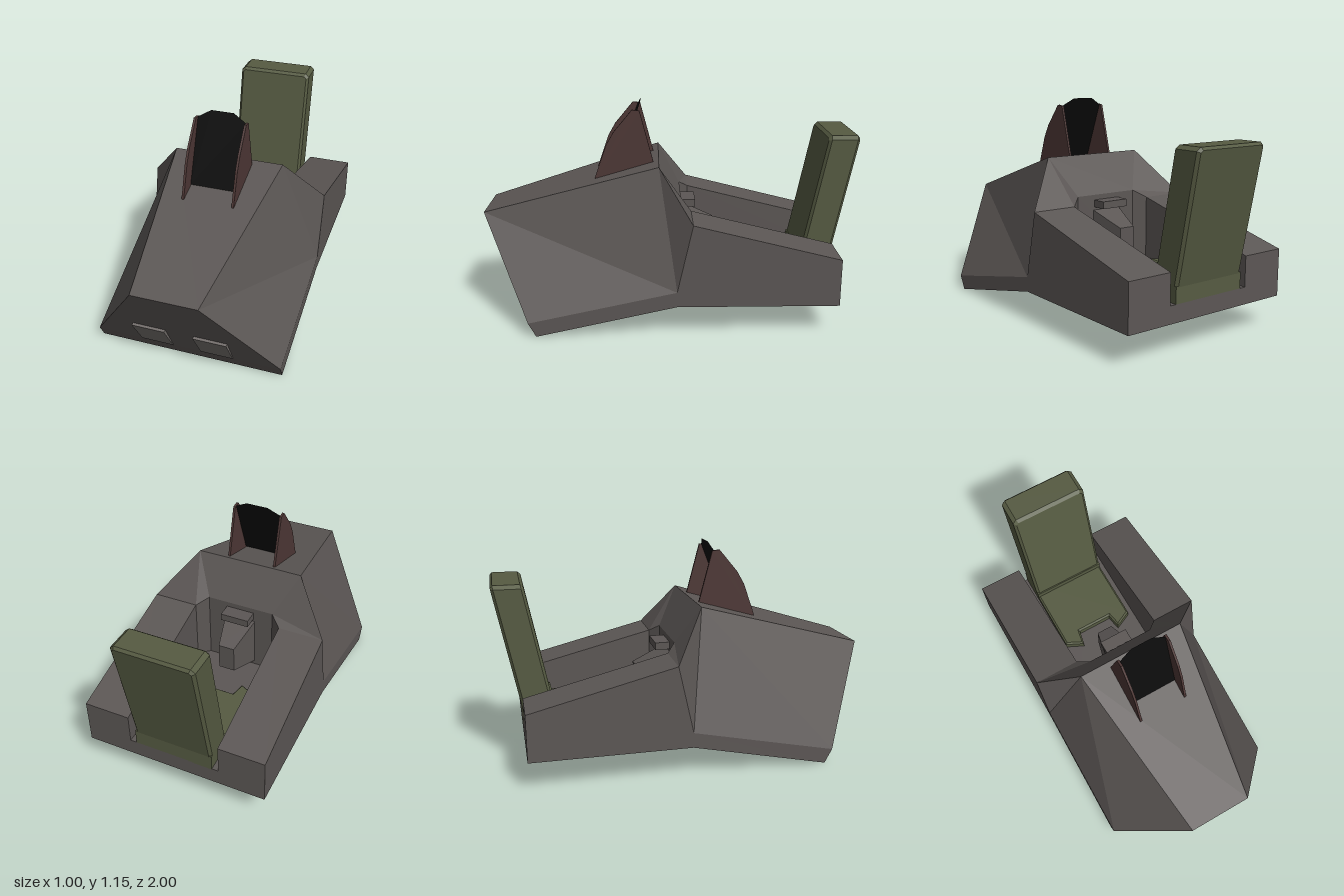
import * as THREE from 'three';

const mat = (name, color, side = THREE.FrontSide) => {
  const m = new THREE.MeshStandardMaterial({ color, side, flatShading: true });
  m.name = name;
  return m;
};

const flip = ([x, y, z]) => [-x, y, z];

// Flat-faced geometry from polygons, each fanned into triangles
function polygons(faces) {
  const pos = [];
  for (const f of faces)
    for (let i = 1; i < f.length - 1; i++) pos.push(...f[0], ...f[i], ...f[i + 1]);
  const g = new THREE.BufferGeometry();
  g.setAttribute('position', new THREE.Float32BufferAttribute(pos, 3));
  g.computeVertexNormals();
  return g;
}

const outline = pts => new THREE.Shape(pts.map(p => new THREE.Vector2(...p)));

function hullGeometry() {
  const noseTop = [0.17, 0.575, 1], chin = [0.5, 0.075, 0.74], keel = [0.5, 0, 0.7];
  const ridge = [0.3, 0.85, 0.06], shoulder = [0.5, 0.6, -0.11];
  const sill = [0.5, 0.24, -0.03], belly = [0.5, 0.16, -0.03];
  const tailLow = [0.5, 0.16, -0.87], tailTop = [0.5, 0.41, -0.87];
  const railTail = [0.25, 0.41, -0.87], railFront = [0.25, 0.6, -0.11];
  const tailMid = [0.25, 0.16, -0.87], notch = [0.25, 0.25, -0.87];
  const lip = [0.19, 0.64, -0.06], lipFloor = [0.19, 0.25, -0.06], wellFloor = [0.25, 0.25, -0.11];
  // faces on the left half, mirrored to the right
  const half = [
    [noseTop, chin, sill, ridge],
    [ridge, sill, shoulder],
    [chin, keel, belly, sill],
    [sill, belly, tailLow, tailTop, shoulder],
    [ridge, shoulder, railFront, lip],
    [shoulder, tailTop, railTail, railFront],
    [tailTop, tailLow, tailMid, railTail],
    [railTail, notch, wellFloor, railFront],
    [railFront, wellFloor, lipFloor, lip],
  ];
  // faces that span the middle
  const span = (a, b) => [a, b, flip(b), flip(a)];
  const middle = [
    span(ridge, lip), span(lip, lipFloor), span(notch, tailMid), span(tailLow, belly),
    span(belly, keel), span(keel, chin), span(chin, noseTop), span(noseTop, ridge),
    [notch, flip(notch), flip(wellFloor), flip(lipFloor), lipFloor, wellFloor],
  ];
  return polygons([...half, ...half.map(f => f.map(flip).reverse()), ...middle]);
}

export function createModel() {
  const model = new THREE.Group();
  const grey = mat('hullGrey', 0x5c5755);
  const panelGrey = mat('panelGrey', 0x77726f);
  const olive = mat('seatOlive', 0x565b42);
  const brown = mat('frameBrown', 0x4e3836);
  const black = mat('screenBlack', 0x0b0b0b, THREE.DoubleSide);

  const add = (name, geometry, material, parent = model) => {
    const m = new THREE.Mesh(geometry, material);
    m.name = name;
    parent.add(m);
    return m;
  };

  add('hull', hullGeometry(), grey);

  // Slightly raised wedge panels on the nose
  for (const s of [-1, 1]) {
    const g = new THREE.BoxGeometry(0.175, 0.175, 0.04);
    const p = g.attributes.position;
    for (let i = 0; i < p.count; i++) {
      const top = p.getY(i) > 0, front = p.getZ(i) > 0;
      p.setZ(i, top ? (front ? 0.85 : 0.81) : (front ? 0.744 : 0.72));
    }
    g.translate(s * 0.163, 0.163, 0);
    add(s > 0 ? 'leftNosePanel' : 'rightNosePanel', g, panelGrey);
  }

  // Windscreen: two side frames and a dark screen leaning back
  const windscreen = new THREE.Group();
  windscreen.name = 'windscreen';
  model.add(windscreen);
  const frameShape = outline([
    [0.4, 0.745], [0.4, 0.76], [0.34, 0.93], [0.3, 1.0], [0.2, 1.12], [0.16, 1.115], [0.085, 0.83],
  ]);
  for (const s of [-1, 1]) {
    const g = new THREE.ExtrudeGeometry(frameShape, { depth: 0.012, bevelEnabled: false });
    g.rotateY(-Math.PI / 2).scale(1, 1, 1);
    g.translate(s * 0.134 + 0.006, 0, 0);
    add(s > 0 ? 'leftFrame' : 'rightFrame', g, brown, windscreen);
  }
  const at = (x, y) => [x, y, 0.3 - (y - 0.785) * 0.39];
  add('screen', polygons([[
    at(-0.13, 0.785), at(0.13, 0.785), at(0.13, 1.115), at(0.06, 1.155), at(-0.06, 1.155), at(-0.13, 1.115),
  ]]), black, windscreen);

  // Seat: bevelled back sheared to lean, base block and forked cushion
  const seat = new THREE.Group();
  seat.name = 'seat';
  model.add(seat);
  const b = 0.014;
  const back = new THREE.ExtrudeGeometry(outline([
    [-0.201, 0.27], [0.201, 0.27], [0.201, 0.965], [0.188, 0.976], [-0.188, 0.976], [-0.201, 0.965],
  ]), { depth: 0.164 - 2 * b, bevelThickness: b, bevelSize: b, bevelSegments: 1 });
  const bp = back.attributes.position;
  for (let i = 0; i < bp.count; i++)
    bp.setZ(i, bp.getZ(i) + b - 0.87 - (bp.getY(i) - 0.33) * 0.198);
  back.computeVertexNormals();
  add('seatBack', back, olive, seat);
  add('seatBase', new THREE.BoxGeometry(0.43, 0.09, 0.17).translate(0, 0.29, -0.785), olive, seat);
  const cushion = new THREE.ExtrudeGeometry(outline([
    [-0.205, 0.8], [-0.205, 0.35], [-0.125, 0.31], [-0.11, 0.39],
    [0.11, 0.39], [0.125, 0.31], [0.205, 0.35], [0.205, 0.8],
  ]), { depth: 0.04, bevelThickness: 0.01, bevelSize: 0.01, bevelSegments: 1 });
  cushion.rotateX(-Math.PI / 2).translate(0, 0.25, 0);
  add('seatCushion', cushion, olive, seat);

  // Instrument console tapering toward the seat, with a small hood
  const console_ = new THREE.BoxGeometry(1, 1, 1);
  const cp = console_.attributes.position;
  for (let i = 0; i < cp.count; i++) {
    const s = Math.sign(cp.getX(i)), top = cp.getY(i) > 0, rear = cp.getZ(i) < 0;
    cp.setXYZ(i, s * (rear ? 0.045 : 0.09), top ? (rear ? 0.48 : 0.56) : (rear ? 0.33 : 0.27), rear ? -0.245 : -0.05);
  }
  console_.computeVertexNormals();
  add('console', console_, grey);
  add('consoleHood', new THREE.BoxGeometry(0.16, 0.04, 0.09).translate(0, 0.592, -0.095), grey);

  return model;
}
